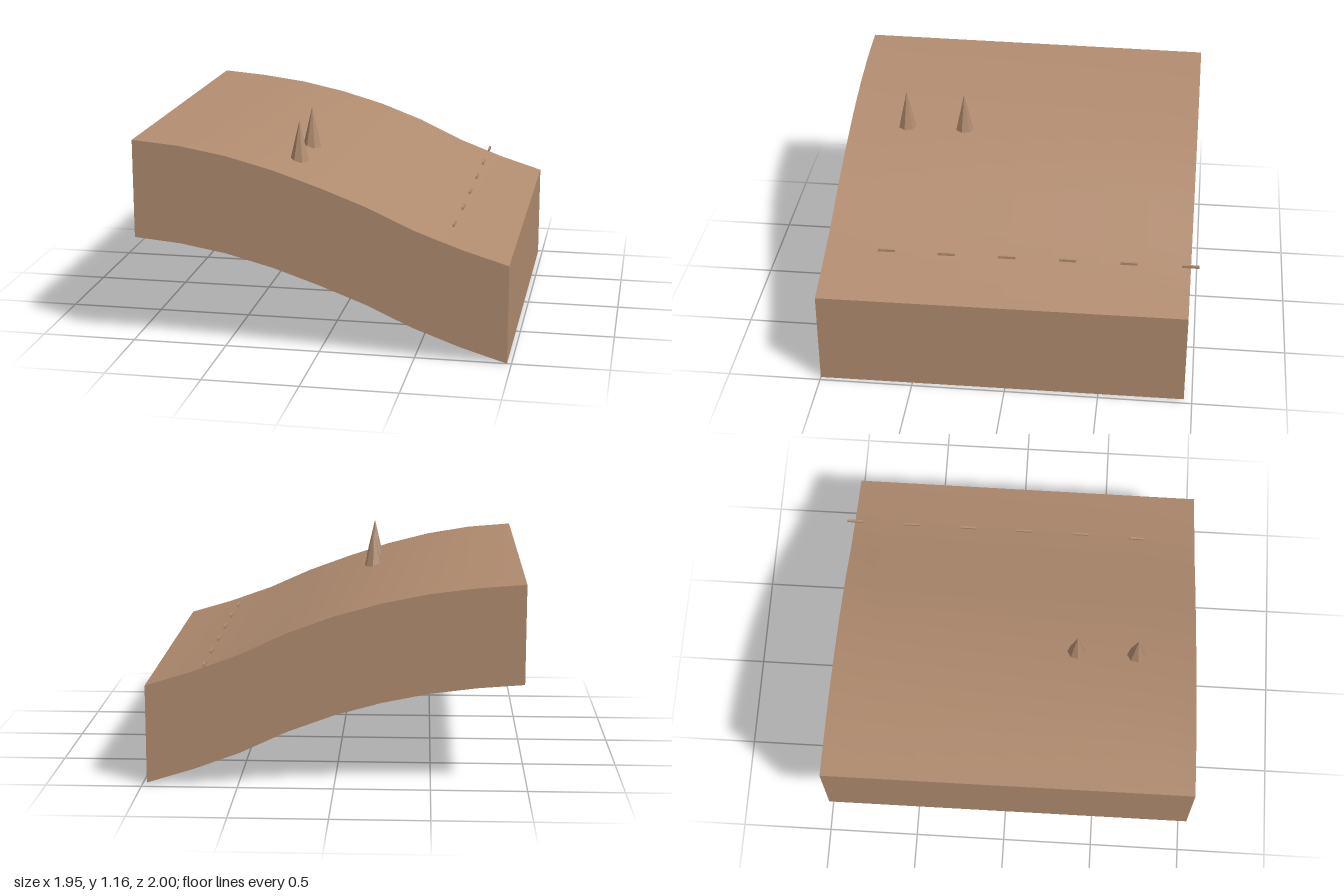
import * as THREE from 'three';

const HALF_X = 0.977, Z_BACK = -0.957, Z_FRONT = 1, DEPTH = 0.52, SEG = 8;
// hillside heights from x = -HALF_X to +HALF_X, along the front and back edges
const FRONT = [1.093, 1.072, 1.03, 0.967, 0.886, 0.795, 0.685, 0.597, 0.524];
const BACK = [1.077, 1.057, 1.025, 0.974, 0.905, 0.814, 0.699, 0.608, 0.532];

const lerp = THREE.MathUtils.lerp;

// surface point for u (left to right) and v (back to front), both 0..SEG
function surfacePoint(u, v) {
  const t = v / SEG;
  return [
    lerp(-HALF_X, HALF_X, u / SEG),
    lerp(BACK[u], FRONT[u], t),
    lerp(Z_BACK, Z_FRONT, t),
  ];
}

// grid of quads from rows of points
function gridGeometry(rows) {
  const w = rows[0].length, index = [];
  for (let r = 0; r < rows.length - 1; r++) {
    for (let c = 0; c < w - 1; c++) {
      const a = r * w + c, b = a + 1, d = a + w, e = d + 1;
      index.push(a, d, b, b, d, e);
    }
  }
  const geo = new THREE.BufferGeometry();
  geo.setAttribute('position', new THREE.Float32BufferAttribute(rows.flat(2), 3));
  geo.setIndex(index);
  geo.computeVertexNormals();
  return geo;
}

export function createModel() {
  const model = new THREE.Group();
  model.name = 'hillside';
  const earth = new THREE.MeshStandardMaterial({ color: 0xb08b6f, side: THREE.DoubleSide });
  earth.name = 'earth brown';
  const facetedEarth = earth.clone();
  facetedEarth.flatShading = true;

  const add = (name, geometry, material = earth) => {
    const mesh = new THREE.Mesh(geometry, material);
    mesh.name = name;
    model.add(mesh);
    return mesh;
  };

  // sloping ground
  const steps = Array.from({ length: SEG + 1 }, (_, i) => i);
  add('ground', gridGeometry(steps.map(v => steps.map(u => surfacePoint(u, v)))));

  // side walls hanging from each edge, open underneath
  const wall = (name, edge) =>
    add(name, gridGeometry([edge, edge.map(([x, y, z]) => [x, y - DEPTH, z])]));
  const back = steps.slice().reverse();
  wall('frontWall', steps.map(u => surfacePoint(u, SEG)));
  wall('backWall', back.map(u => surfacePoint(u, 0)));
  wall('leftWall', back.map(v => surfacePoint(SEG, v)));
  wall('rightWall', steps.map(v => surfacePoint(0, v)));

  // two pointed trees
  const cone = new THREE.ConeGeometry(0.051, 0.22, 7);
  cone.rotateY(Math.PI);
  for (const z of [0.35, 0.675]) {
    add('tree', cone, facetedEarth).position.set(-0.165, 1.05, z);
  }

  // dashed row of low slats along the lower slope
  const slat = new THREE.BoxGeometry(0.011, 0.014, 0.091);
  for (let i = 0; i < 6; i++) {
    const x = i === 0 ? 0.656 : 0.664;
    add('slat', slat, facetedEarth).position.set(x, 0.638 + i * 0.0024, 0.67 - i * 0.325);
  }

  return model;
}
